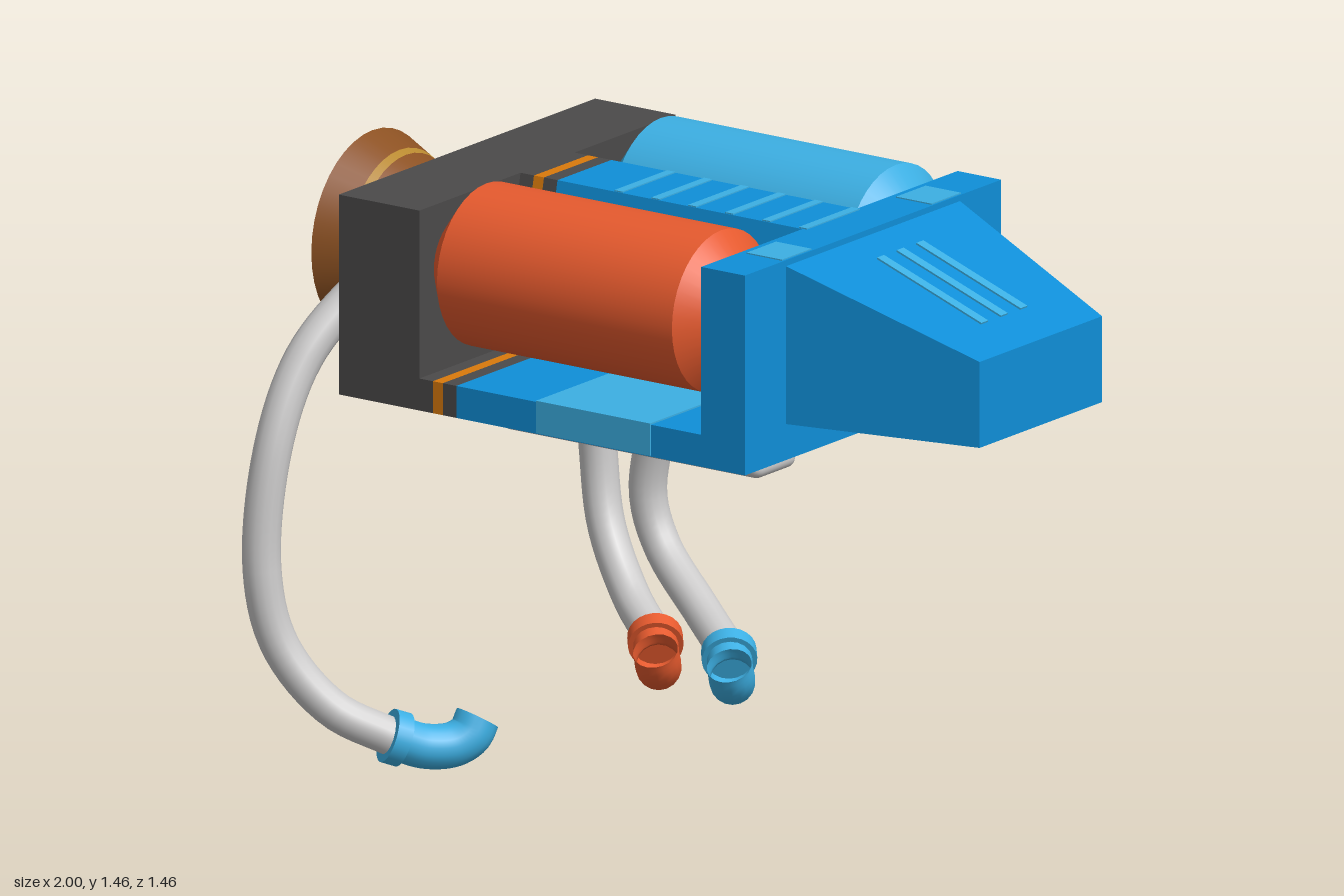
import * as THREE from 'three';
import { RoundedBoxGeometry } from 'three/addons/geometries/RoundedBoxGeometry.js';

const material = (name, color, side = THREE.FrontSide) => {
  const m = new THREE.MeshStandardMaterial({ color, side });
  m.name = name;
  return m;
};

export function createModel() {
  const blue = material('hull blue', 0x0f8fd8);
  const light = material('light blue', 0x3cafe3, THREE.DoubleSide);
  const red = material('orange red', 0xe65a2e, THREE.DoubleSide);
  const grey = material('dark grey', 0x4b4a4a);
  const orange = material('stripe orange', 0xd97a0c);
  const brown = material('nozzle brown', 0x8c5122, THREE.DoubleSide);
  const gold = material('nozzle gold', 0xb98a30, THREE.DoubleSide);
  const pale = material('pale grey', 0xcbcaca);

  const model = new THREE.Group();
  const add = (name, geometry, mat, x = 0, y = 0, z = 0, parent = model) => {
    const mesh = new THREE.Mesh(geometry, mat);
    mesh.name = name;
    mesh.position.set(x, y, z);
    parent.add(mesh);
    return mesh;
  };
  const body = new THREE.Group();
  body.name = 'body';
  body.position.z = 0.006;
  model.add(body);
  // box given by its x and y limits and its width in z
  const block = (name, mat, x0, x1, y0, y1, depth, z = 0) =>
    add(name, new THREE.BoxGeometry(x1 - x0, y1 - y0, depth), mat, (x0 + x1) / 2, (y0 + y1) / 2, z, body);

  // End blocks
  block('rearBlock', grey, -0.71, -0.47, 0.92, 1.42, 1.046);
  block('frontPlate', blue, 0.37, 0.5, 0.92, 1.42, 1.046);

  // Middle: flat tray with a tapered spine, extruded along x in coloured lengths
  const section = (name, mat, x0, x1, half) => {
    const outline = [...half, ...half.map(([z, y]) => [-z, y]).reverse()];
    const shape = new THREE.Shape(outline.map(([z, y]) => new THREE.Vector2(z, y)));
    const g = new THREE.ExtrudeGeometry(shape, { depth: x1 - x0, bevelEnabled: false });
    g.rotateY(Math.PI / 2);
    add(name, g, mat, x0, 0, 0, body);
  };
  const tray = [[0.523, 0.92], [0.523, 1.0], [0.2, 1.0], [0.11, 1.42]];
  section('rearBand', grey, -0.47, -0.43, tray);
  section('orangeBand', orange, -0.43, -0.4, tray);
  section('frontBand', grey, -0.4, -0.36, tray);
  section('tray', blue, -0.36, 0.37, tray);
  section('sidePanel', light, -0.12, 0.22, [[0.527, 0.923], [0.527, 1.004], [0.204, 1.004], [0.188, 1.08]]);

  // Nose: a box whose front end is narrowed and lowered
  const noseGeometry = new THREE.BoxGeometry(0.5, 1, 1);
  const p = noseGeometry.attributes.position;
  for (let i = 0; i < p.count; i++) {
    const front = p.getX(i) > 0;
    p.setY(i, p.getY(i) < 0 ? 1.01 : front ? 1.225 : 1.405);
    p.setZ(i, Math.sign(p.getZ(i)) * (front ? 0.25 : 0.355));
  }
  noseGeometry.computeVertexNormals();
  add('nose', noseGeometry, blue, 0.75, 0, 0, body);

  // Thin painted marks on the spine, front plate and nose
  for (let i = 0; i < 6; i++) {
    const x = -0.18 + i * 0.11;
    block('spineMark', light, x - 0.012, x + 0.012, 1.417, 1.423, 0.216);
  }
  for (const s of [-1, 1]) block('plateMark', light, 0.39, 0.495, 1.417, 1.423, 0.12, s * 0.305);
  for (const z of [-0.08, 0, 0.08]) {
    const mark = block('noseMark', light, 0.57, 0.9, 1.317, 1.325, 0.028, z);
    mark.rotation.z = -Math.atan(0.36);
  }

  // Tanks with tapered ends, and runners underneath
  for (const s of [-1, 1]) {
    const tank = new THREE.Group();
    tank.name = s > 0 ? 'leftTank' : 'rightTank';
    tank.position.set(-0.047, 1.26, s * 0.356);
    tank.rotation.z = -Math.PI / 2;
    model.add(tank);
    const mat = s > 0 ? red : light;
    add('tankBarrel', new THREE.CylinderGeometry(0.201, 0.201, 0.7, 40, 1, true), mat, 0, 0, 0, tank);
    add('tankFrontEnd', new THREE.CylinderGeometry(0.115, 0.201, 0.072, 40), mat, 0, 0.386, 0, tank);
    add('tankRearEnd', new THREE.CylinderGeometry(0.201, 0.115, 0.072, 40), mat, 0, -0.386, 0, tank);
    add('runner', new RoundedBoxGeometry(0.78, 0.06, 0.165, 3, 0.025), pale, 0.08, 0.907, s * 0.349);
  }

  // Nozzle: flared cone in rings, with a shallow recess and glowing centre
  const nozzle = new THREE.Group();
  nozzle.name = 'nozzle';
  nozzle.position.set(0, 1.16, -0.006);
  model.add(nozzle);
  const radius = x => 0.25 - (x + 1) * 0.448;
  const cuts = [-1, -0.92, -0.9, -0.79, -0.77, -0.7];
  const ring = (name, mat, x0, x1, r0, r1) => {
    const g = new THREE.CylinderGeometry(r1, r0, x1 - x0, 40, 1, true).rotateZ(-Math.PI / 2);
    add(name, g, mat, (x0 + x1) / 2, 0, 0, nozzle);
  };
  for (let i = 0; i < 5; i++) {
    ring(i % 2 ? 'nozzleStripe' : 'nozzleCone', i % 2 ? gold : brown, cuts[i], cuts[i + 1], radius(cuts[i]), radius(cuts[i + 1]));
  }
  ring('nozzleRecess', brown, -1, -0.93, 0.25, 0.1);
  add('nozzleCore', new THREE.CircleGeometry(0.1, 32).rotateY(-Math.PI / 2), red, -0.93, 0, 0, nozzle);

  // Arms: bent hoses ending in a collar and an open elbow
  const curve = pts => new THREE.CatmullRomCurve3(pts.map(q => new THREE.Vector3(...q)));
  const rearPath = [[-0.69, 1.21, 0.33], [-0.75, 1.13, 0.43], [-0.8, 1.0, 0.55], [-0.82, 0.8, 0.645],
    [-0.825, 0.5, 0.685], [-0.785, 0.31, 0.665], [-0.67, 0.16, 0.61], [-0.54, 0.09, 0.535]];
  const sidePath = [[-0.52, 1.14, 0.49], [-0.56, 0.93, 0.57], [-0.62, 0.66, 0.665], [-0.675, 0.4, 0.685],
    [-0.63, 0.28, 0.68], [-0.47, 0.16, 0.62], [-0.32, 0.09, 0.535]];
  const handPath = [[0, 0.09, 0.53], [0.045, 0.064, 0.475], [0.09, 0.063, 0.42], [0.115, 0.085, 0.385], [0.122, 0.122, 0.363]];
  const arm = (name, path, s, handX, mat) => {
    const group = new THREE.Group();
    group.name = name;
    model.add(group);
    const side = pts => pts.map(([x, y, z]) => [x, y, s * z]);
    add('hose', new THREE.TubeGeometry(curve(side(path)), 48, 0.047, 16), pale, 0, 0, 0, group);
    const hand = curve(side(handPath));
    add('hand', new THREE.TubeGeometry(hand, 24, 0.055, 18), mat, handX, 0, 0, group);
    const collar = add('collar', new THREE.CylinderGeometry(0.067, 0.067, 0.04, 24), mat, handX, 0.09, s * 0.53, group);
    collar.quaternion.setFromUnitVectors(new THREE.Vector3(0, 1, 0), hand.getTangent(0));
  };
  arm('leftArm', rearPath, 1, -0.54, light);
  arm('rightRearArm', rearPath, -1, -0.54, red);
  arm('rightSideArm', sidePath, -1, -0.32, light);

  return model;
}
